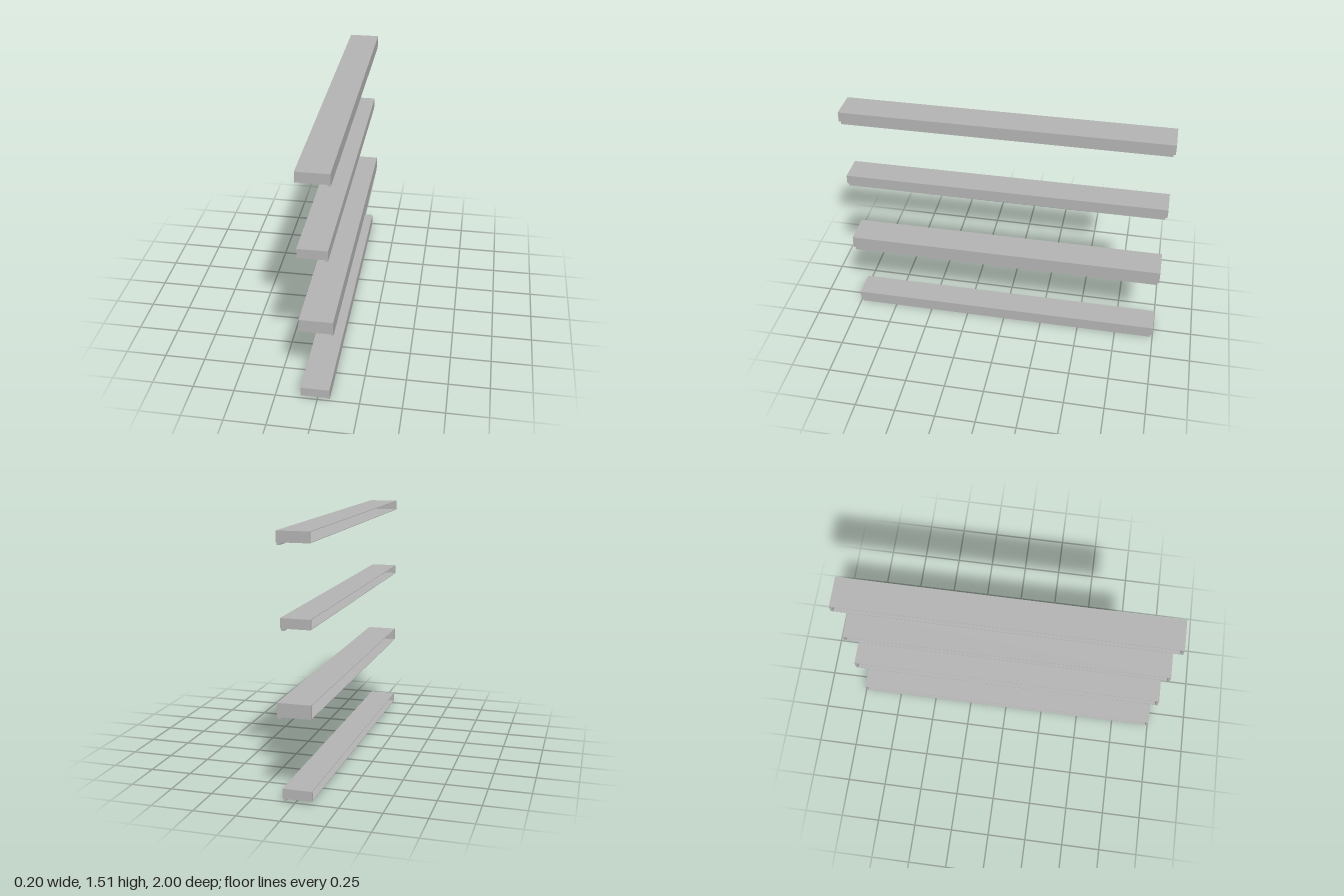
import * as THREE from 'three';

const grey = new THREE.MeshStandardMaterial({ color: 0xb2b2b2 });
grey.name = 'grey';

const LEFT = -0.098; // open edge shared by all shelves
const SKIN = 0.003; // top and bottom sheet thickness
const WALL = 0.016; // long wall and end thickness

// Box given by its minimum and maximum on each axis
function slab(name, x0, x1, y0, y1, z0, z1) {
  const geometry = new THREE.BoxGeometry(x1 - x0, y1 - y0, z1 - z0);
  geometry.translate((x0 + x1) / 2, (y0 + y1) / 2, (z0 + z1) / 2);
  const mesh = new THREE.Mesh(geometry, grey);
  mesh.name = name;
  return mesh;
}

// Hollow shelf: open along -x, with a lip hanging below the +x wall
function shelf({ right, lipBottom, bottom, top, inset = 0 }) {
  const group = new THREE.Group();
  group.name = 'shelf';
  const end = 1 - WALL;
  group.add(
    slab('topSheet', LEFT, right, top - SKIN, top, -1, 1),
    slab('bottomSheet', LEFT, right, bottom, bottom + SKIN, -1, 1),
    slab('longWall', right - WALL, right, bottom + SKIN, top - SKIN, -1, 1),
    slab('lip', right - WALL - inset, right - inset, lipBottom, bottom, -0.987, 0.987)
  );
  for (const side of [-1, 1]) {
    const z = [side * end, side].sort((a, b) => a - b);
    group.add(slab('endCap', LEFT, right - WALL, bottom + SKIN, top - SKIN, ...z));
  }
  return group;
}

export function createModel() {
  const model = new THREE.Group();
  model.name = 'shelves';
  const sizes = [
    { right: 0.073, lipBottom: 0, bottom: 0.019, top: 0.077 },
    { right: 0.098, lipBottom: 0.474, bottom: 0.49, top: 0.57 },
    { right: 0.073, lipBottom: 0.968, bottom: 0.984, top: 1.041 },
    { right: 0.089, lipBottom: 1.428, bottom: 1.444, top: 1.506 },
  ];
  sizes[2].inset = 0.002;
  for (const size of sizes) model.add(shelf(size));
  return model;
}
